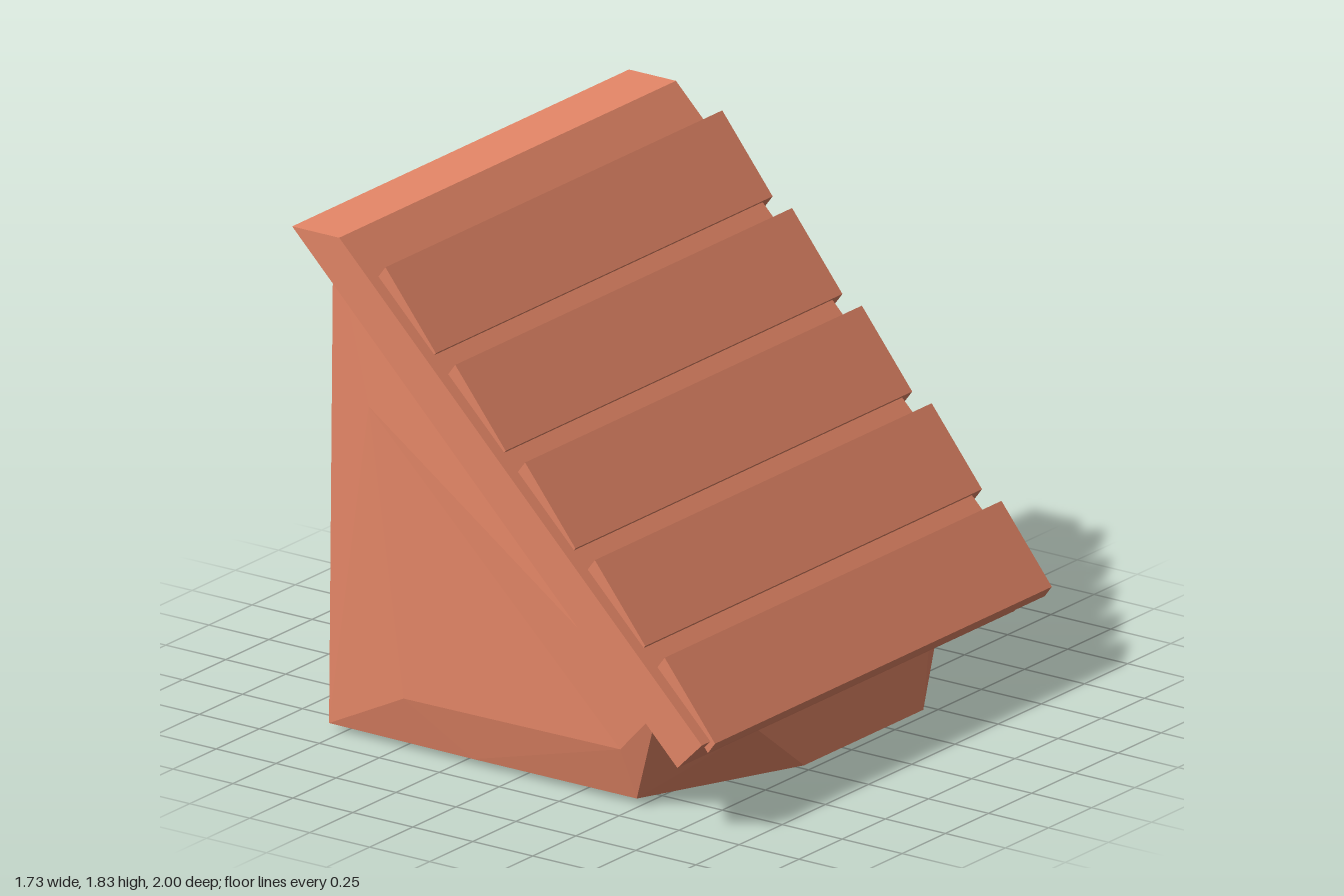
import * as THREE from 'three';

const clay = new THREE.MeshStandardMaterial({ color: 0xe78868, flatShading: true, side: THREE.DoubleSide });

// Extrudes an x/y outline between two z positions
function slab(name, outline, z0, z1) {
  const shape = new THREE.Shape(outline.map(([x, y]) => new THREE.Vector2(x, y)));
  const geometry = new THREE.ExtrudeGeometry(shape, { depth: z1 - z0, bevelEnabled: false });
  geometry.translate(0, 0, z0);
  const mesh = new THREE.Mesh(geometry, clay);
  mesh.name = name;
  return mesh;
}

// Builds a faceted mesh from polygons given as lists of corners
function faceted(name, polygons) {
  const positions = [];
  for (const p of polygons) {
    for (let i = 1; i < p.length - 1; i++) positions.push(...p[0], ...p[i], ...p[i + 1]);
  }
  const geometry = new THREE.BufferGeometry();
  geometry.setAttribute('position', new THREE.Float32BufferAttribute(positions, 3));
  geometry.computeVertexNormals();
  const mesh = new THREE.Mesh(geometry, clay);
  mesh.name = name;
  return mesh;
}

// Corners of the two uneven halves of the hollow body
const front = {
  heel: [-0.81, 0.02, 0.86], foot: [-0.2, 0.02, 0.87], toe: [0.48, 0.02, 0.87],
  eave: [0.6, 0.37, 0.92], peak: [-0.8, 1.77, 0.85],
  low1: [-0.47, 0.19, 0.9], low2: [0.44, 0.2, 0.91], high: [-0.63, 1.2, 0.88],
  endLow: [0.76, 0.03, 0.29], endTop: [0.74, 0.23, 0.54],
  // opening, inner room and the thick rim of the base hole
  sill: [-0.81, 0.27, 0.52], lintel: [-0.81, 1.7, 0.64],
  floor: [-0.45, 0.2, 0.72], vault: [-0.56, 1.15, 0.64], eaveIn: [0.45, 0.35, 0.68],
  holeIn: [-0.43, 0.02, 0.43], holeOut: [0.43, 0.02, 0.62],
  lipIn: [-0.43, 0.15, 0.43], lipOut: [0.43, 0.05, 0.62],
};
const back = {
  heel: [-0.85, 0.01, -0.7], foot: [-0.48, 0, -0.74], toe: [0.46, 0.01, -0.75],
  eave: [0.59, 0.38, -0.78], peak: [-0.82, 1.77, -0.75],
  low1: [-0.47, 0.25, -0.77], low2: [0.42, 0.2, -0.77], high: [-0.63, 1.2, -0.78],
  endLow: [0.76, 0.03, -0.4], endTop: [0.74, 0.23, -0.46],
  sill: [-0.84, 0.24, -0.43], lintel: [-0.82, 1.7, -0.52],
  floor: [-0.47, 0.2, -0.58], vault: [-0.56, 1.15, -0.56], eaveIn: [0.42, 0.35, -0.56],
  holeIn: [-0.54, 0, -0.4], holeOut: [0.38, 0, -0.49],
  lipIn: [-0.52, 0.12, -0.4], lipOut: [0.38, 0.05, -0.49],
};
const heelMid = [-0.77, 0.02, 0.2], sillMid = [-0.77, 0.28, 0.04];

// Outer wall, base rim and inner room of one half
function halfFaces(h) {
  return [
    // bulging outer wall and its cut corner
    [h.heel, h.foot, h.low1], [h.foot, h.toe, h.low2, h.low1], [h.toe, h.eave, h.low2],
    [h.low2, h.eave, h.high], [h.low2, h.high, h.low1], [h.eave, h.peak, h.high],
    [h.peak, h.heel, h.high], [h.heel, h.low1, h.high],
    [h.toe, h.endLow, h.endTop, h.eave],
    // base rim and side of the base hole
    [h.heel, h.holeIn, h.foot], [h.foot, h.holeIn, h.holeOut],
    [h.foot, h.holeOut, h.toe], [h.toe, h.holeOut, h.endLow],
    [h.holeIn, h.lipIn, h.lipOut, h.holeOut],
    // inner wall and floor
    [h.sill, h.lintel, h.floor], [h.lintel, h.vault, h.floor],
    [h.vault, h.eaveIn, h.floor], [h.eaveIn, h.lipOut, h.floor],
    [h.sill, h.floor, h.lipIn], [h.floor, h.lipOut, h.lipIn],
  ];
}

// Faces that run across from one half to the other
function crossFaces(f, b) {
  return [
    // low end and base rim
    [f.endLow, b.endLow, b.endTop, f.endTop],
    [f.endLow, f.holeOut, b.holeOut, b.endLow],
    [f.holeIn, f.heel, heelMid], [f.holeIn, heelMid, b.holeIn], [b.holeIn, heelMid, b.heel],
    // frame of the tall opening
    [heelMid, f.heel, f.sill, sillMid], [b.heel, heelMid, sillMid, b.sill],
    [f.heel, f.peak, f.lintel, f.sill], [b.heel, b.sill, b.lintel, b.peak],
    [f.peak, b.peak, b.lintel, f.lintel],
    // floor behind the sill and ends of the base hole
    [f.sill, f.lipIn, sillMid], [sillMid, f.lipIn, b.lipIn], [sillMid, b.lipIn, b.sill],
    [b.holeIn, b.lipIn, f.lipIn, f.holeIn], [f.lipOut, b.lipOut, b.holeOut, f.holeOut],
    // ceiling and low inner end
    [f.lintel, b.lintel, b.vault, f.vault], [f.vault, b.vault, b.eaveIn, f.eaveIn],
    [f.eaveIn, b.eaveIn, b.lipOut, f.lipOut],
  ];
}

export function createModel() {
  const model = new THREE.Group();
  model.name = 'leanToRoof';

  // Hollow body under the roof
  model.add(faceted('body', [
    ...halfFaces(front),
    ...halfFaces(back).map((p) => p.reverse()),
    ...crossFaces(front, back),
  ]));

  // Sloping roof slab
  model.add(slab('roofSlab', [[-0.863, 1.833], [0.743, 0.222], [0.845, 0.324], [-0.667, 1.833]], -0.95, 1));

  // Five overlapping roof boards
  const boards = new THREE.Group();
  boards.name = 'roofBoards';
  for (let i = 0; i < 5; i++) {
    const dx = i * 0.291, dy = i * 0.29;
    const outline = [[-0.54, 1.705], [-0.33, 1.44], [-0.3, 1.48], [-0.51, 1.745]];
    boards.add(slab('roofBoard' + (i + 1), outline.map(([x, y]) => [x + dx, y - dy]), -1, 0.95));
  }
  model.add(boards);
  return model;
}
